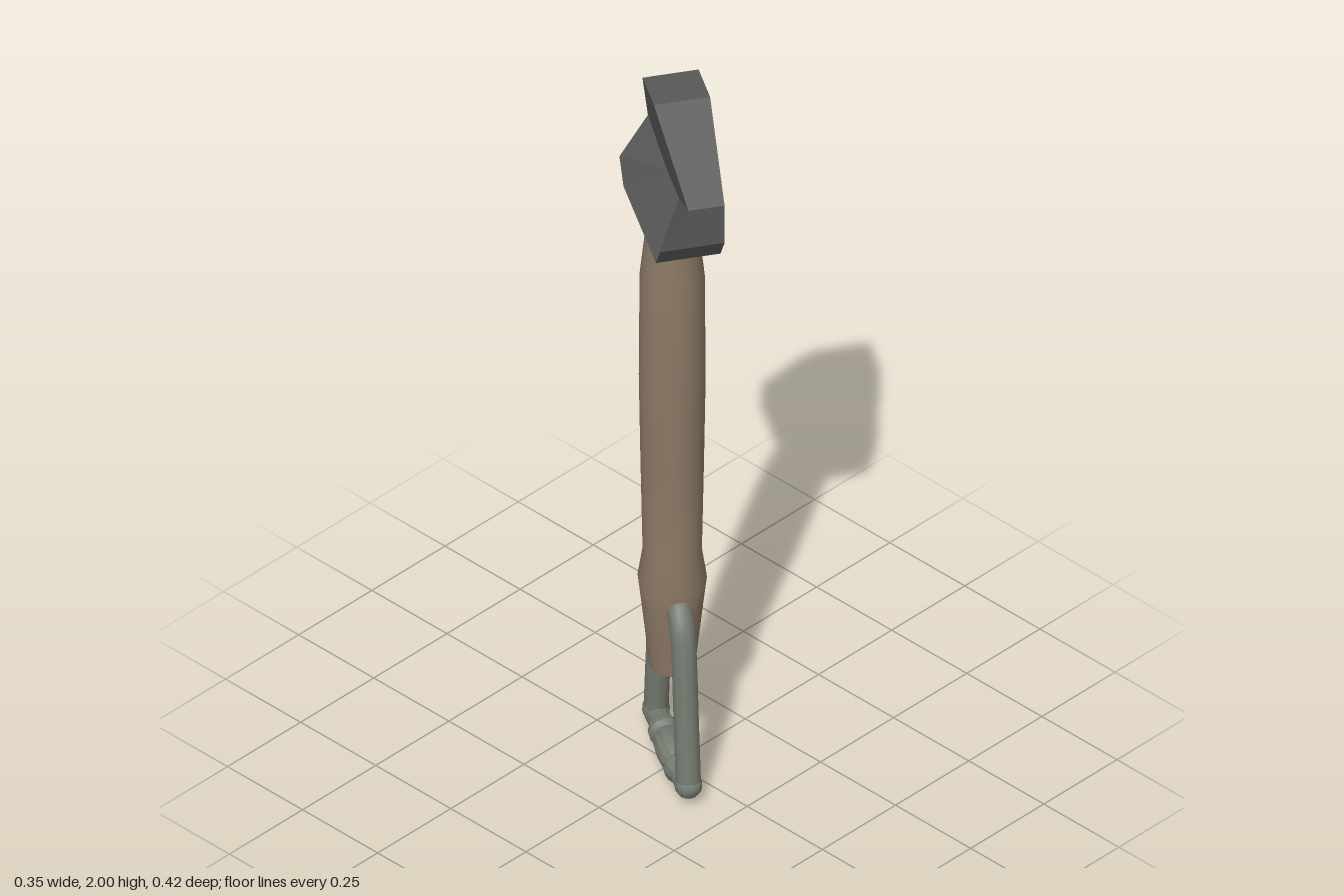
import * as THREE from 'three';
import { toCreasedNormals } from 'three/addons/utils/BufferGeometryUtils.js';

const steel = new THREE.MeshStandardMaterial({ color: 0x585858, flatShading: true });
steel.name = 'dark steel';
const wood = new THREE.MeshStandardMaterial({ color: 0x8b7865 });
wood.name = 'brown wood';
const iron = new THREE.MeshStandardMaterial({ color: 0x757b71 });
iron.name = 'grey green iron';

function add(parent, name, geometry, material) {
  const mesh = new THREE.Mesh(geometry, material);
  mesh.name = name;
  parent.add(mesh);
  return mesh;
}

// Lathe with crisp steps between its sections
function turned(profile, sides) {
  const points = profile.map(([r, y]) => new THREE.Vector2(r, y));
  return toCreasedNormals(new THREE.LatheGeometry(points, sides), 0.45);
}

// Flat polygons, each fanned into triangles
function fromPolygons(polygons) {
  const positions = [];
  for (const p of polygons) {
    for (let i = 1; i < p.length - 1; i++) positions.push(...p[0], ...p[i], ...p[i + 1]);
  }
  const g = new THREE.BufferGeometry();
  g.setAttribute('position', new THREE.Float32BufferAttribute(positions, 3));
  g.computeVertexNormals();
  return g;
}

// Head: flat on one face, undercut with a flared lip on the other
function headGeometry() {
  const half = [[0.057, 2, -0.059], [0.2, 1.78, -0.01], [0.2, 1.67, -0.08], [0.16, 1.61, -0.08]];
  const left = half.map(([x, y, z]) => [-x, y, z]);
  const back = [...left, ...[...half].reverse()];
  const front = back.map(([x, y]) => [x, y, 0.079]);
  const [tl, cl, ll, bl, br, lr, cr, tr] = back;
  const ml = [-0.06, 1.715, 0.002], mr = [0.06, 1.715, 0.002];
  const polygons = [
    front,
    [tl, tr, cr, mr, ml, cl],
    [ml, mr, br, bl],
    [mr, cr, lr, br],
    [cl, ml, bl, ll],
  ];
  front.forEach((a, i) => {
    const j = (i + 1) % front.length;
    polygons.push([a, back[i], back[j], front[j]]);
  });
  return fromPolygons(polygons);
}

export function createModel() {
  const model = new THREE.Group();
  model.name = 'hammer';
  model.rotation.y = 1.016;
  const root = new THREE.Group();
  root.name = 'tool';
  root.add(model);

  add(model, 'head', headGeometry(), steel);

  // Shaft with a collar above its tapered butt
  add(model, 'shaft', turned([
    [0, 0.3], [0.055, 0.3], [0.074, 0.48], [0.083, 0.56], [0.071, 0.64],
    [0.076, 0.9], [0.08, 1.15], [0.078, 1.45], [0.06, 1.62], [0, 1.62],
  ], 20), wood);

  // Stirrup handle hung from the butt
  const handle = new THREE.Group();
  handle.name = 'stirrupHandle';
  model.add(handle);
  for (const s of [-1, 1]) {
    const path = new THREE.CatmullRomCurve3([
      [0.04, 0.515], [0.075, 0.505], [0.1, 0.475], [0.115, 0.42], [0.137, 0.24], [0.16, 0.055],
    ].map(([x, y]) => new THREE.Vector3(s * x, y, 0)));
    add(handle, 'handleLeg', new THREE.TubeGeometry(path, 24, 0.031, 10), iron);
    const corner = add(handle, 'handleCorner', new THREE.SphereGeometry(0.034, 12, 8), iron);
    corner.position.set(s * 0.16, 0.055, 0);
  }

  // Crossbar with a swollen grip between two rings
  const halfBar = [[0.041, 0], [0.038, 0.045], [0.031, 0.058], [0.04, 0.072], [0.038, 0.09], [0.029, 0.11], [0.031, 0.16]];
  const bar = [...halfBar.slice(1).reverse().map(([r, y]) => [r, -y]), ...halfBar];
  const crossbar = add(handle, 'crossbar', turned(bar, 12), iron);
  crossbar.rotation.z = -Math.PI / 2;
  crossbar.position.y = 0.046;

  return root;
}
